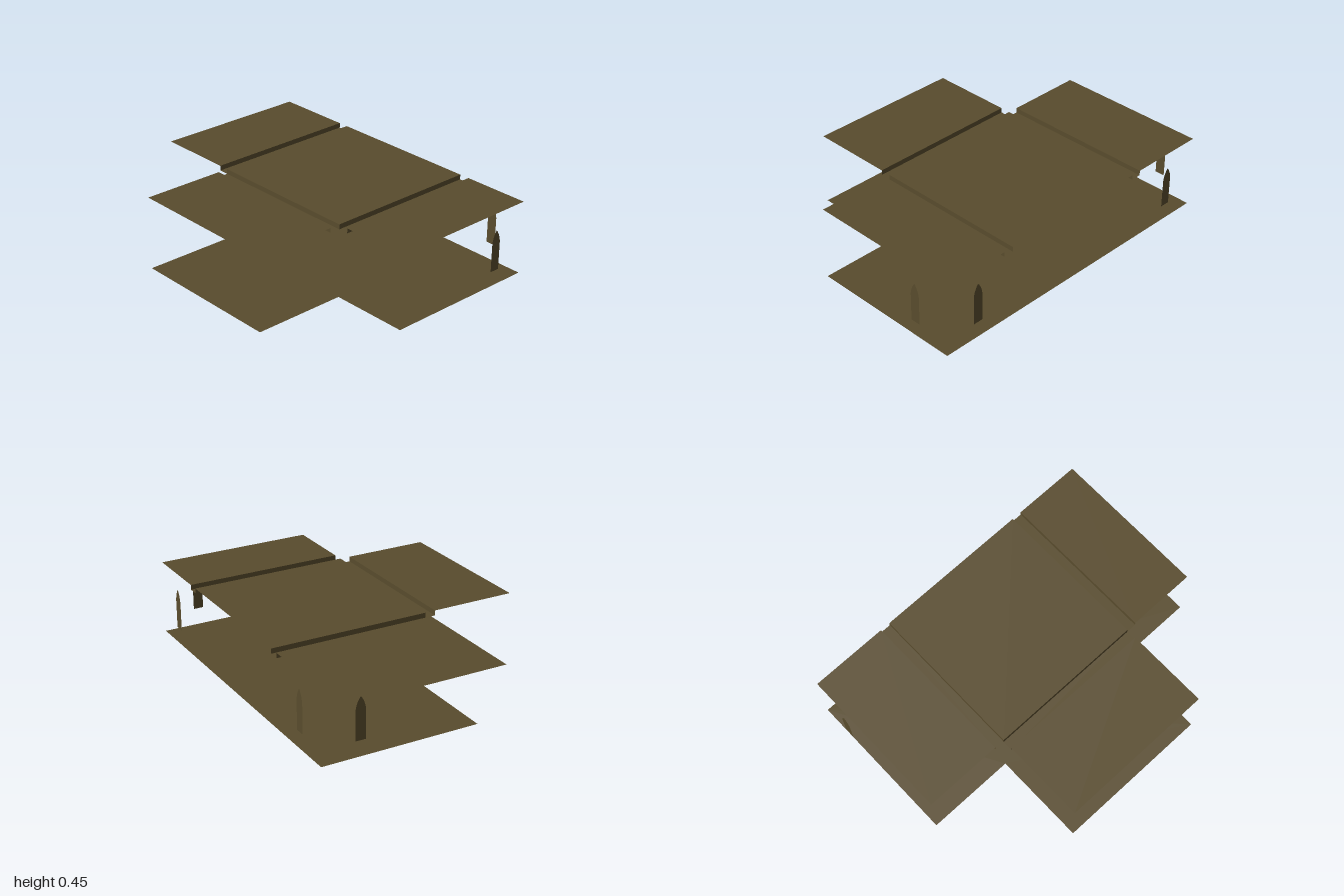
import * as THREE from 'three';

export function createModel() {
  const model = new THREE.Group();
  model.name = 'terraceModel';
  const brown = new THREE.MeshStandardMaterial({ color: 0x594c2d, side: THREE.DoubleSide });
  brown.name = 'olive brown';

  const TOP = 0.45, GROOVE = 0.42;
  const X = 0.988, BACK = -0.763, MID = 0.195, FRONT = 0.765;
  const L = -0.45, R = 0.508, GAP = 0.063;

  function add(name, geometry, parent = model) {
    const mesh = new THREE.Mesh(geometry, brown);
    mesh.name = name;
    parent.add(mesh);
    return mesh;
  }

  // Horizontal sheet between two corners
  function sheet(name, x0, x1, z0, z1, y, parent) {
    const g = new THREE.PlaneGeometry(x1 - x0, z1 - z0).rotateX(-Math.PI / 2);
    g.translate((x0 + x1) / 2, y, (z0 + z1) / 2);
    return add(name, g, parent);
  }

  // Upright groove wall, running along z (at x) or along x (at z)
  function wall(name, axis, at, from, to, parent) {
    const g = new THREE.PlaneGeometry(to - from, TOP - GROOVE);
    const mid = (from + to) / 2, y = (TOP + GROOVE) / 2;
    if (axis === 'z') g.rotateY(Math.PI / 2).translate(at, y, mid);
    else g.translate(mid, y, at);
    return add(name, g, parent);
  }

  // T-shaped floor
  const plan = new THREE.Shape([
    [-X, -BACK], [-X, -MID], [L, -MID], [L, -FRONT],
    [R, -FRONT], [R, -MID], [X, -MID], [X, -BACK],
  ].map(([x, y]) => new THREE.Vector2(x, y)));
  add('floor', new THREE.ShapeGeometry(plan).rotateX(-Math.PI / 2));

  // Roof panels
  sheet('centreRoof', L, R, BACK, MID, TOP);
  sheet('rightRoof', -X, L - GAP, BACK, MID, TOP);
  sheet('leftRoof', R + GAP, X, BACK, MID, TOP);
  sheet('frontRoof', L, R, MID + GAP, FRONT, TOP);

  // Sunken grooves between the panels
  for (const [name, x0, x1] of [['rightGroove', L - GAP, L], ['leftGroove', R, R + GAP]]) {
    const groove = new THREE.Group();
    groove.name = name;
    sheet('grooveBottom', x0, x1, BACK, MID, GROOVE, groove);
    wall('grooveWallA', 'z', x0, BACK, MID, groove);
    wall('grooveWallB', 'z', x1, BACK, MID, groove);
    model.add(groove);
  }
  const frontGroove = new THREE.Group();
  frontGroove.name = 'frontGroove';
  sheet('grooveBottom', L, R, MID, MID + GAP, GROOVE, frontGroove);
  wall('grooveWallA', 'x', MID, L, R, frontGroove);
  wall('grooveWallB', 'x', MID + GAP, L, R, frontGroove);
  model.add(frontGroove);

  // Pointed-arch window panes
  const arch = new THREE.Shape();
  arch.moveTo(-0.031, 0.1);
  arch.lineTo(0.031, 0.1);
  arch.lineTo(0.031, 0.275);
  arch.quadraticCurveTo(0.026, 0.32, 0, 0.351);
  arch.quadraticCurveTo(-0.026, 0.32, -0.031, 0.275);
  const pane = new THREE.ShapeGeometry(arch, 6);
  for (const side of [-1, 1]) {
    const back = add('backWindow', pane);
    back.position.set(side * 0.765, 0, -0.765);
    back.rotation.y = Math.PI;
    const flank = add('sideWindow', pane);
    flank.position.set(side * 0.998, 0, -0.536);
    flank.rotation.y = side * Math.PI / 2;
  }
  return model;
}
